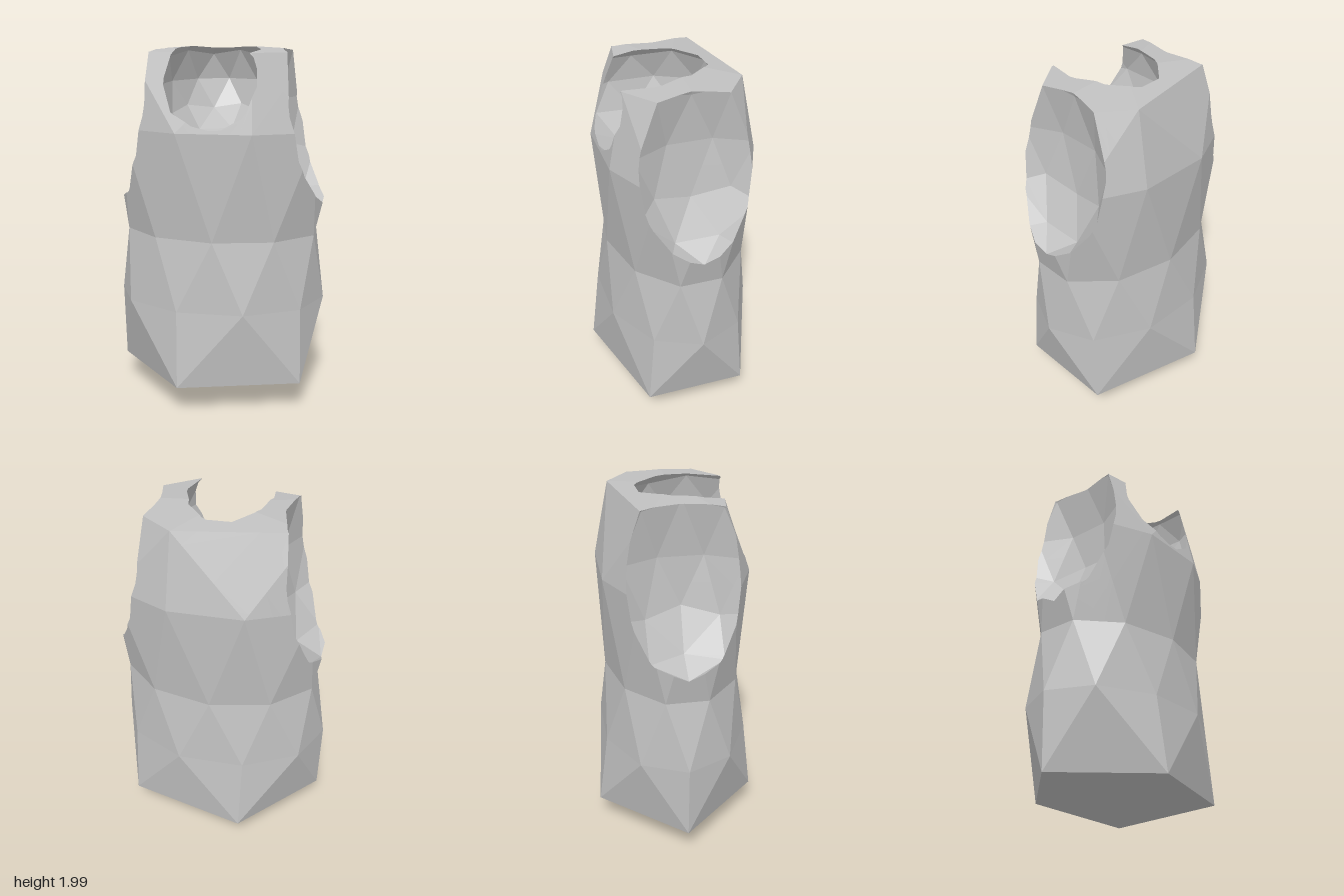
import * as THREE from 'three';
import { ConvexGeometry } from 'three/addons/geometries/ConvexGeometry.js';

const grey = new THREE.MeshStandardMaterial({ color: 0xc0c0c0 });
grey.name = 'plainGrey';
grey.flatShading = true;
grey.side = THREE.DoubleSide;

// Ring of n points at height y, start angle in degrees, shifted sideways by cx
function ring(y, rx, rz, n, start, cx = 0) {
  return Array.from({ length: n }, (_, i) => {
    const a = THREE.MathUtils.degToRad(start + (360 / n) * i);
    return new THREE.Vector3(cx + rx * Math.cos(a), y, rz * Math.sin(a));
  });
}

// Triangles of a geometry as lists of corners
function triangles(geometry) {
  const g = geometry.index ? geometry.toNonIndexed() : geometry;
  const p = g.attributes.position;
  const out = [];
  for (let i = 0; i < p.count; i += 3) {
    const t = [0, 1, 2].map((k) => new THREE.Vector3().fromBufferAttribute(p, i + k));
    const area = t[1].clone().sub(t[0]).cross(t[2].clone().sub(t[0])).length();
    if (area > 1e-9) out.push(t);
  }
  return out;
}

const planeOf = (t) => new THREE.Plane().setFromCoplanarPoints(t[0], t[1], t[2]);
const solid = (geometry) => {
  const faces = triangles(geometry);
  return { faces, planes: faces.map(planeOf) };
};

// Split a convex polygon by a plane into its inner and outer pieces
function split(poly, plane) {
  const inner = [], outer = [];
  const d = poly.map((v) => {
    const s = plane.distanceToPoint(v);
    return Math.abs(s) < 1e-6 ? 0 : s;
  });
  if (d.every((s) => s <= 0)) return [poly, null];
  if (d.every((s) => s >= 0)) return [null, poly];
  poly.forEach((v, i) => {
    const j = (i + 1) % poly.length;
    if (d[i] <= 0) inner.push(v);
    if (d[i] >= 0) outer.push(v);
    if (d[i] * d[j] < 0) {
      const cut = v.clone().lerp(poly[j], d[i] / (d[i] - d[j]));
      inner.push(cut);
      outer.push(cut);
    }
  });
  return [inner, outer];
}

// Pieces of a polygon inside or outside a convex solid
function clip(poly, body) {
  const outside = [];
  let rest = poly;
  for (const plane of body.planes) {
    const [inner, outer] = split(rest, plane);
    if (outer) outside.push(outer);
    rest = inner;
    if (!rest) return { inside: [], outside };
  }
  return { inside: [rest], outside };
}

// Untouched polygons stay whole
function subtract(polys, body) {
  return polys.flatMap((p) => {
    const { inside, outside } = clip(p, body);
    return inside.length ? outside : [p];
  });
}

function meshFrom(polys, name) {
  const pos = [];
  for (const p of polys) {
    for (let i = 1; i + 1 < p.length; i++) {
      for (const v of [p[0], p[i], p[i + 1]]) pos.push(v.x, v.y, v.z);
    }
  }
  const g = new THREE.BufferGeometry();
  g.setAttribute('position', new THREE.Float32BufferAttribute(pos, 3));
  g.computeVertexNormals();
  const mesh = new THREE.Mesh(g, grey);
  mesh.name = name;
  return mesh;
}

// Faceted ellipsoid with a pole pointing up
function ellipsoid(center, radii) {
  const g = new THREE.IcosahedronGeometry(1, 1);
  g.rotateZ(Math.atan(2 / (1 + Math.sqrt(5))));
  g.scale(...radii);
  g.translate(...center);
  return solid(g);
}

export function createModel() {
  const group = new THREE.Group();
  group.name = 'sleevelessTorso';

  // Cross-sections from the bottom point to the top point
  const rings = [
    [new THREE.Vector3(0, 0, 0)],
    ring(0.17, 0.59, 0.475, 5, 36, 0.01),
    ring(0.59, 0.59, 0.42, 10, 0),
    ring(0.98, 0.55, 0.375, 10, 18, 0.01),
    ring(1.56, 0.65, 0.41, 10, 0, 0.02),
    ring(1.965, 0.6, 0.326, 5, 0, 0.02),
    [new THREE.Vector3(0, 2, 0)],
  ];
  const layers = rings.slice(1).map((top, i) => solid(new ConvexGeometry([...rings[i], ...top])));

  // Hollows for the neck and the two arms
  const hollows = {
    neckHollow: ellipsoid([0, 1.8, 0.13], [0.29, 0.31, 0.41]),
    leftArmHollow: ellipsoid([0.57, 1.7, 0], [0.27, 0.58, 0.39]),
    rightArmHollow: ellipsoid([-0.54, 1.7, 0], [0.27, 0.58, 0.39]),
  };

  // Outer skin without the flat joints between layers
  let skin = layers.flatMap((l) => l.faces.filter((f, i) => Math.abs(l.planes[i].normal.y) < 0.9999));
  for (const h of Object.values(hollows)) skin = subtract(skin, h);
  group.add(meshFrom(skin, 'torso'));

  // Walls of each hollow, turned inwards and trimmed to the body
  for (const [name, h] of Object.entries(hollows)) {
    const walls = h.faces.flatMap((f) => layers.flatMap((l) => clip([...f].reverse(), l).inside));
    group.add(meshFrom(walls, name));
  }
  return group;
}
